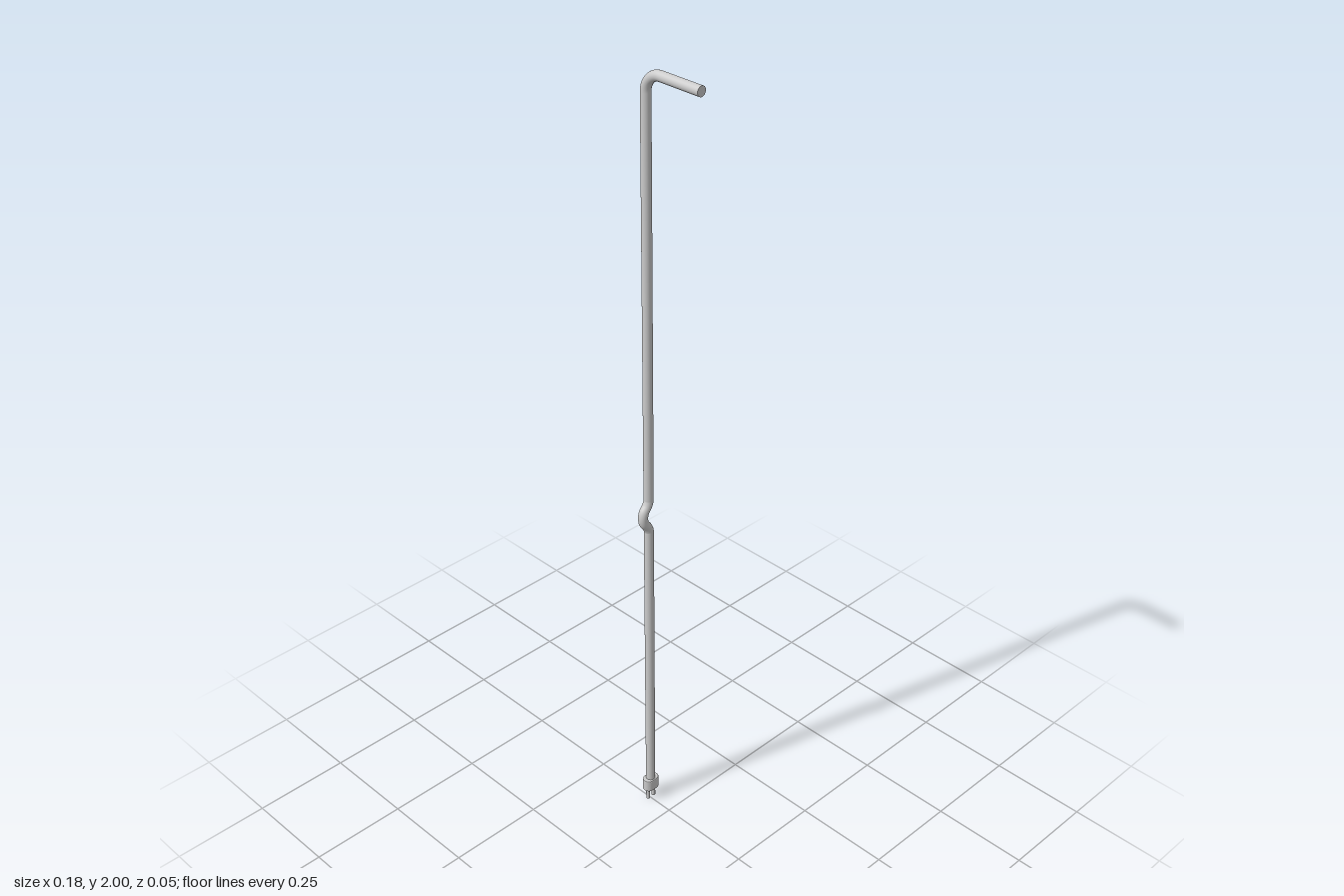
import * as THREE from 'three';

const X = -0.073, Z = -0.0045, R = 0.012; // rod axis and radius
const TOP = 2 - R, BEND = 0.045, END = 0.088;
const KINK_LOW = 0.84, KINK_HIGH = 0.94, KINK_DEPTH = 0.0185;

const material = new THREE.MeshStandardMaterial({ color: 0xcccccc });
const v = (x, y, z = Z) => new THREE.Vector3(x, y, z);

export function createModel() {
  const group = new THREE.Group();
  const add = (name, geometry) => {
    const mesh = new THREE.Mesh(geometry, material);
    mesh.name = name;
    group.add(mesh);
    return mesh;
  };
  const tube = (name, curve, segments) =>
    add(name, new THREE.TubeGeometry(curve, segments, R, 24));

  // Straight shafts either side of the kink
  tube('lowerShaft', new THREE.LineCurve3(v(X, 0.06), v(X, KINK_LOW)), 1);
  tube('upperShaft', new THREE.LineCurve3(v(X, KINK_HIGH), v(X, TOP - BEND)), 1);

  // Small forward kink with a rounded crest
  const mid = (KINK_LOW + KINK_HIGH) / 2;
  const half = (KINK_HIGH - KINK_LOW) / 2;
  const profile = [[-1, 0], [-0.85, 0.01], [-0.6, 0.28], [-0.3, 0.85], [0, 1],
    [0.3, 0.85], [0.6, 0.28], [0.85, 0.01], [1, 0]];
  tube('kink', new THREE.CatmullRomCurve3(
    profile.map(([t, d]) => v(X, mid + t * half, Z + d * KINK_DEPTH))), 40);

  // Quarter-circle bend into the top arm
  const k = BEND * 0.4477;
  tube('bend', new THREE.CubicBezierCurve3(
    v(X, TOP - BEND), v(X, TOP - k), v(X + k, TOP), v(X + BEND, TOP)), 20);
  tube('topArm', new THREE.LineCurve3(v(X + BEND, TOP), v(END, TOP)), 1);
  const cap = add('armEnd', new THREE.CircleGeometry(R, 24));
  cap.position.set(END, TOP, Z);
  cap.rotation.y = Math.PI / 2;

  // Oblong collar at the foot, long in z
  const bevel = 0.003, r = 0.0155 - bevel, s = 0.007;
  const outline = new THREE.Shape();
  outline.absarc(0, s, r, 0, Math.PI);
  outline.absarc(0, -s, r, Math.PI, Math.PI * 2);
  outline.closePath();
  const collar = add('collar', new THREE.ExtrudeGeometry(outline, {
    depth: 0.028, bevelSize: bevel, bevelThickness: bevel, bevelSegments: 2, curveSegments: 16,
  }));
  collar.rotation.x = -Math.PI / 2;
  collar.position.set(X, 0.035, Z);

  // Two prongs below the collar
  for (const side of [-1, 1]) {
    const prong = add(side > 0 ? 'frontProng' : 'backProng',
      new THREE.CylinderGeometry(0.005, 0.005, 0.036, 16));
    prong.position.set(X, 0.018, Z + side * 0.0095);
  }
  return group;
}
